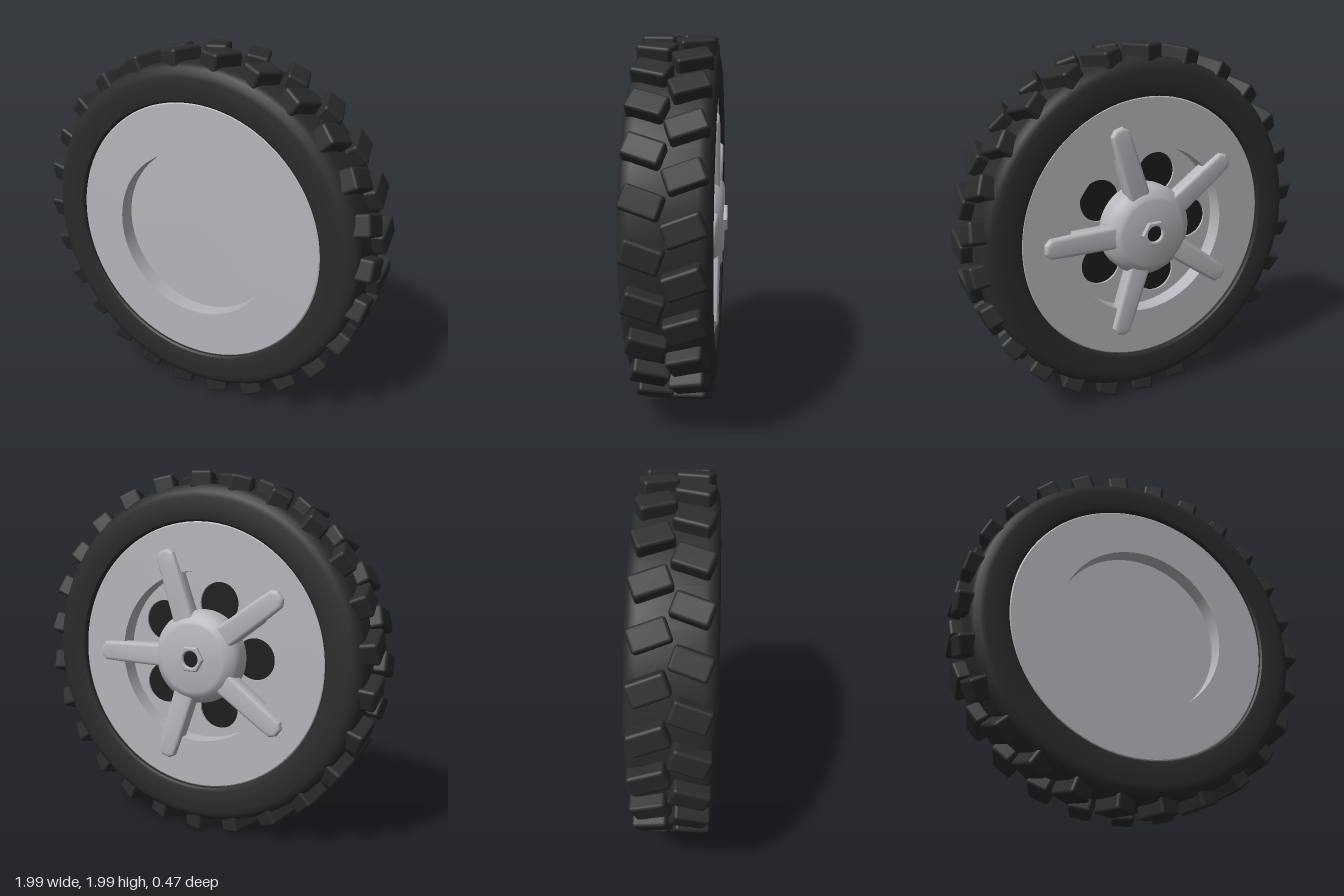
import * as THREE from 'three';
import { toCreasedNormals } from 'three/addons/utils/BufferGeometryUtils.js';
import { RoundedBoxGeometry } from 'three/addons/geometries/RoundedBoxGeometry.js';

export function createModel() {
  const material = (name, color) => {
    const m = new THREE.MeshStandardMaterial({ color });
    m.name = name;
    return m;
  };
  const rubber = material('rubber', 0x2b2b2b);
  const metal = material('metal', 0xb6b7bc);
  const dark = material('dark', 0x1c1c1c);

  const model = new THREE.Group();
  model.name = 'wheel';
  const wheel = new THREE.Group();
  wheel.name = 'wheelAssembly';
  wheel.position.y = 1;
  model.add(wheel);

  const add = (name, geometry, mat, parent = wheel) => {
    const mesh = new THREE.Mesh(geometry, mat);
    mesh.name = name;
    parent.add(mesh);
    return mesh;
  };
  // Turned part about the z axis from [radius, z] points
  const turned = (points, segments, crease) => {
    const g = new THREE.LatheGeometry(points.map(([r, z]) => new THREE.Vector2(r, z)), segments);
    g.rotateX(Math.PI / 2);
    return toCreasedNormals(g, crease);
  };
  const circlePath = (x, y, r) => new THREE.Path().absarc(x, y, r, 0, Math.PI * 2, true);

  // Tyre body, symmetric about its own mid plane
  const mid = 0.022;
  const half = [[0.93, 0.15], [0.925, 0.175], [0.91, 0.195], [0.885, 0.209], [0.86, 0.213],
    [0.76, 0.213], [0.742, 0.208], [0.734, 0.198], [0.732, 0.16]];
  const tyreProfile = [
    ...half.map(([r, z]) => [r, mid - z]).reverse(),
    ...half.map(([r, z]) => [r, mid + z]),
  ];
  add('tyre', turned(tyreProfile, 96, 0.6), rubber);

  // Two staggered rows of slanted tread blocks
  const count = 26;
  const blockGeometry = new RoundedBoxGeometry(0.1, 0.118, 0.187, 2, 0.017);
  for (const row of [{ name: 'frontTread', z: 0.113, tilt: -0.33, shift: 0 },
    { name: 'backTread', z: -0.072, tilt: 0.36, shift: 0.5 }]) {
    const group = new THREE.Group();
    group.name = row.name;
    wheel.add(group);
    for (let i = 0; i < count; i++) {
      const pivot = new THREE.Group();
      pivot.name = 'treadPivot';
      pivot.rotation.z = ((i + row.shift) / count) * Math.PI * 2;
      group.add(pivot);
      const block = add('treadBlock', blockGeometry, rubber, pivot);
      block.position.set(0.946, 0, row.z);
      block.rotation.x = row.tilt;
    }
  }

  // Rim with a dished front and an open recess at the back
  add('rim', turned([[0.47, -0.07], [0.47, -0.165], [0.726, -0.165], [0.735, -0.157],
    [0.735, 0.207], [0.726, 0.215], [0.47, 0.215], [0.47, 0.125], [0, 0.125]], 96, 0.5), metal);

  // Back recess floor with five round holes over a dark disc
  const floor = new THREE.Shape().absarc(0, 0, 0.472, 0, Math.PI * 2, false);
  for (let i = 0; i < 5; i++) {
    const a = ((i + 0.5) / 5) * Math.PI * 2;
    floor.holes.push(circlePath(0.31 * Math.cos(a), 0.31 * Math.sin(a), 0.115));
  }
  const floorGeometry = new THREE.ExtrudeGeometry(floor, { depth: 0.012, bevelEnabled: false, curveSegments: 48 });
  add('recessFloor', floorGeometry, metal).position.z = -0.07;
  const backing = add('holeBacking', new THREE.CircleGeometry(0.465, 64), dark);
  backing.rotation.y = Math.PI;
  backing.position.z = -0.057;

  // Five tapered spokes with chamfered tips
  const spoke = new THREE.Shape([[0.15, -0.045], [0.5, -0.038], [0.575, -0.034], [0.592, -0.016],
    [0.592, 0.016], [0.575, 0.034], [0.5, 0.038], [0.15, 0.045]].map(([x, y]) => new THREE.Vector2(x, y)));
  const spokeGeometry = toCreasedNormals(new THREE.ExtrudeGeometry(spoke, {
    depth: 0.05, bevelThickness: 0.02, bevelSize: 0.02, bevelSegments: 3,
  }), 0.6);
  for (let i = 0; i < 5; i++) {
    const mesh = add('spoke', spokeGeometry, metal);
    mesh.rotation.z = (i / 5) * Math.PI * 2;
    mesh.position.z = -0.174;
  }

  // Hub cap
  add('hub', turned([[0, -0.215], [0.185, -0.215], [0.2, -0.21], [0.217, -0.197], [0.24, -0.18],
    [0.253, -0.16], [0.258, -0.135], [0.258, -0.065]], 64, 0.6), metal);

  // Hexagonal nut with a dark bore
  const hex = new THREE.Shape(Array.from({ length: 6 }, (_, i) => {
    const a = (i / 6) * Math.PI * 2;
    return new THREE.Vector2(0.07 * Math.cos(a), 0.07 * Math.sin(a));
  }));
  hex.holes.push(circlePath(0, 0, 0.05));
  const nut = new THREE.ExtrudeGeometry(hex, {
    depth: 0.016, bevelThickness: 0.005, bevelSize: 0.005, bevelSegments: 1, curveSegments: 24,
  });
  add('nut', nut, metal).position.z = -0.23;
  const bore = add('nutBore', new THREE.CircleGeometry(0.052, 32), dark);
  bore.rotation.y = Math.PI;
  bore.position.z = -0.219;

  return model;
}
